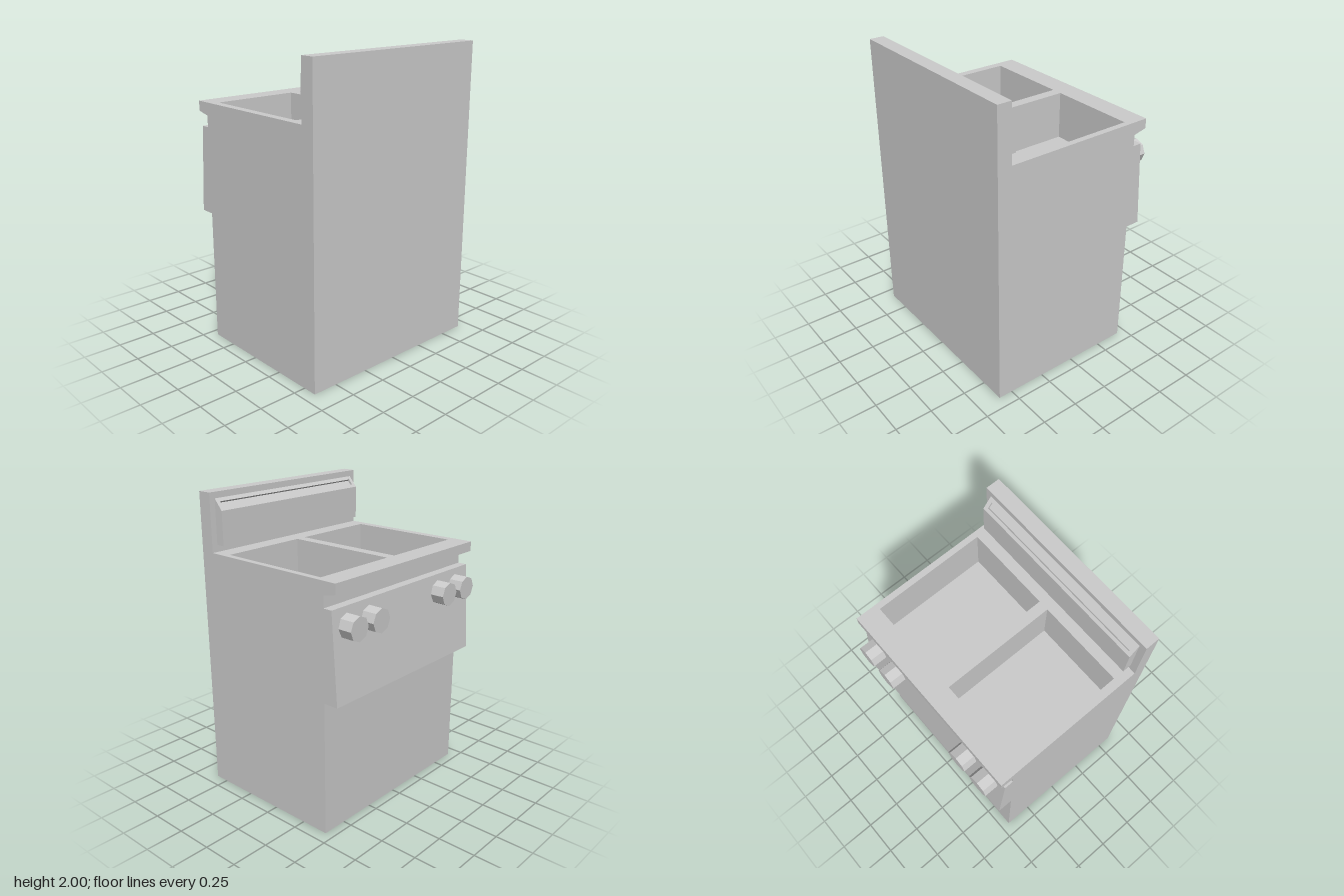
import * as THREE from 'three';

const material = new THREE.MeshStandardMaterial({ color: 0xcccccc, flatShading: true });

function addMesh(parent, name, geometry) {
  const mesh = new THREE.Mesh(geometry, material);
  mesh.name = name;
  parent.add(mesh);
  return mesh;
}

// Side profile (x, y) swept from z0 to z1
function sweep(points, z0, z1) {
  const shape = new THREE.Shape(points.map(([x, y]) => new THREE.Vector2(x, y)));
  return new THREE.ExtrudeGeometry(shape, { depth: z1 - z0, bevelEnabled: false }).translate(0, 0, z0);
}

export function createModel() {
  const model = new THREE.Group();
  model.name = 'twinBasinCooker';

  // Cabinet, sloping control panel, worktop lip and splashback, with a trough for the basins
  const top = 1.625, floor = 1.31, basinX = 0.385, halfDepth = 0.67;
  addMesh(model, 'cabinet', sweep([
    [-0.44, 0], [0.595, 0], [0.595, 2], [0.5, 2], [0.5, top],
    [basinX, top], [basinX, floor], [-basinX, floor], [-basinX, top],
    [-0.53, top], [-0.53, 1.56], [-0.44, 1.54], [-0.44, 1.465],
    [-0.5, 1.465], [-0.54, 0.885], [-0.44, 0.885],
  ], -halfDepth, halfDepth));

  // Walls that split the trough into two basins
  const walls = [['basinEndWallRear', -halfDepth, -0.63], ['basinDivider', -0.04, 0.03], ['basinEndWallNear', 0.615, halfDepth]];
  for (const [name, z0, z1] of walls) {
    const wall = addMesh(model, name, new THREE.BoxGeometry(2 * basinX, top - floor, z1 - z0));
    wall.position.set(0, (top + floor) / 2, (z0 + z1) / 2);
  }

  // Vent housing on the splashback, with a slot along its sloping top
  const vent = new THREE.Group();
  vent.name = 'ventHousing';
  model.add(vent);
  const lower = [[0.44, 1.89], [0.44, 1.67], [0.5, 1.67], [0.5, 1.96]];
  const slot = [[0.483, 1.94], [0.494, 1.93], [0.466, 1.898], [0.455, 1.9075]];
  addMesh(vent, 'ventBody', sweep([...lower, ...slot], -0.605, 0.6));
  addMesh(vent, 'ventEnd', sweep(lower, -0.63, -0.605));
  addMesh(vent, 'ventEnd', sweep(lower, 0.6, 0.625));

  // Eight-sided control knobs
  for (const z of [-0.545, -0.35, 0.34, 0.535]) {
    const knob = addMesh(model, 'controlKnob', new THREE.CylinderGeometry(0.077, 0.077, 0.1, 8));
    knob.rotation.z = Math.PI / 2;
    knob.position.set(-0.55, 1.347, z);
  }

  return model;
}
